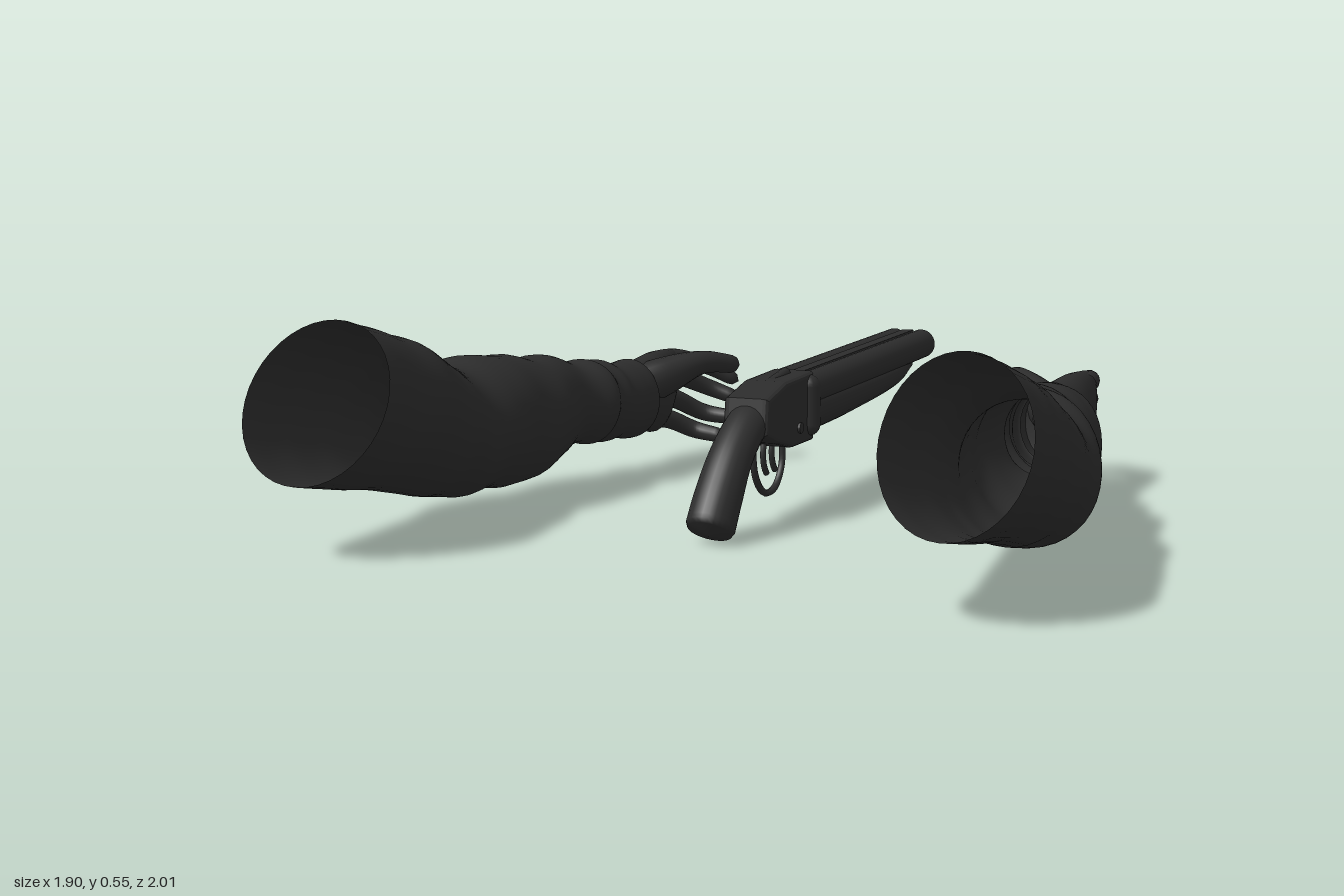
import * as THREE from 'three';

const V = (x, y, z) => new THREE.Vector3(x, y, z);
const black = new THREE.MeshStandardMaterial({ color: 0x2c2c2c, side: THREE.DoubleSide });
black.name = 'charcoal';

function add(parent, name, geometry) {
  const mesh = new THREE.Mesh(geometry, black);
  mesh.name = name;
  parent.add(mesh);
  return mesh;
}

// Smooth closed-ring surface: fn(u, angle) gives a point
function skin(fn, nu, nv) {
  const pos = [], index = [];
  for (let i = 0; i <= nu; i++) {
    for (let j = 0; j < nv; j++) pos.push(...fn(i / nu, (j / nv) * Math.PI * 2).toArray());
  }
  for (let i = 0; i < nu; i++) {
    for (let j = 0; j < nv; j++) {
      const a = i * nv + j, b = i * nv + ((j + 1) % nv), c = a + nv, d = b + nv;
      index.push(a, b, c, b, d, c);
    }
  }
  const g = new THREE.BufferGeometry();
  g.setAttribute('position', new THREE.Float32BufferAttribute(pos, 3));
  g.setIndex(index);
  g.computeVertexNormals();
  return g;
}

// Catmull-Rom sampling of a table of rows
function sample(rows, u) {
  const n = rows.length - 1, f = u * n, i = Math.min(Math.floor(f), n - 1), t = f - i;
  const at = (k) => rows[Math.max(0, Math.min(n, k))];
  return rows[0].map((_, c) => {
    const p0 = at(i - 1)[c], p1 = at(i)[c], p2 = at(i + 1)[c], p3 = at(i + 2)[c];
    return p1 + 0.5 * t * (p2 - p0 + t * (2 * p0 - 5 * p1 + 4 * p2 - p3 + t * (3 * (p1 - p2) + p3 - p0)));
  });
}

// Rows: z, xMin, xMax, yMin, yMax, lean of the ring in z by height
function limb(rows, fold, nu, nv) {
  return skin((u, a) => {
    const [z, x0, x1, y0, y1, lean] = sample(rows, u);
    const k = 1 + fold * (Math.sin(30 * z + 2 * a) + 0.6 * Math.sin(47 * z - 3 * a)) * (z < 0.5 ? 1 : 0.3);
    const dx = -Math.cos(a) * k * (x1 - x0) / 2, dy = Math.sin(a) * k * (y1 - y0) / 2;
    return V((x0 + x1) / 2 + dx, (y0 + y1) / 2 + dy, z - lean * dy + 0.35 * Math.max(0, lean) * dx);
  }, nu, nv);
}

// Tapered tube with rounded tip; radii rows: width, height
function taper(points, radii, nu = 24, nv = 14, round = 0.1) {
  const curve = new THREE.CatmullRomCurve3(points.map((p) => V(...p)));
  return skin((u, a) => {
    const T = curve.getTangent(u), right = V(0, 1, 0).cross(T).normalize(), up = T.clone().cross(right);
    const [w, h] = sample(radii, u);
    const e = Math.max(0, (u - 1 + round) / round), k = Math.sqrt(Math.max(0, 1 - e * e));
    return curve.getPoint(u).addScaledVector(right, Math.cos(a) * w * k).addScaledVector(up, Math.sin(a) * h * k);
  }, nu, nv);
}

function makeArm() {
  const arm = new THREE.Group();
  // Open, creased sleeve
  add(arm, 'sleeve', limb([
    [0.91, 0.60, 0.95, 0.19, 0.56, 0.49],
    [0.75, 0.605, 0.945, 0.155, 0.52, 0.4],
    [0.60, 0.60, 0.94, 0.12, 0.485, 0.25],
    [0.48, 0.605, 0.94, 0.08, 0.44, 0.1],
    [0.37, 0.60, 0.945, 0.06, 0.395, 0],
    [0.28, 0.59, 0.92, 0.06, 0.415, 0],
    [0.18, 0.575, 0.875, 0.058, 0.405, 0],
    [0.08, 0.562, 0.855, 0.07, 0.39, 0],
    [0.00, 0.575, 0.85, 0.085, 0.385, 0],
    [-0.07, 0.582, 0.83, 0.115, 0.375, 0],
    [-0.12, 0.57, 0.785, 0.128, 0.355, 0],
    [-0.17, 0.545, 0.775, 0.118, 0.36, 0],
    [-0.21, 0.555, 0.755, 0.125, 0.345, 0],
    [-0.25, 0.54, 0.768, 0.115, 0.345, 0],
    [-0.28, 0.54, 0.72, 0.125, 0.33, 0],
    [-0.33, 0.53, 0.712, 0.115, 0.335, 0],
    [-0.385, 0.528, 0.707, 0.112, 0.335, 0],
    [-0.395, 0.57, 0.67, 0.16, 0.29, 0],
  ], 0.017, 110, 40));
  // Gloved hand
  const hand = new THREE.Group();
  hand.name = 'hand';
  arm.add(hand);
  add(hand, 'palm', limb([
    [-0.34, 0.545, 0.69, 0.13, 0.32, 0],
    [-0.45, 0.545, 0.693, 0.12, 0.33, 0],
    [-0.53, 0.56, 0.69, 0.105, 0.338, 0.1],
    [-0.60, 0.58, 0.682, 0.103, 0.335, 0.3],
    [-0.645, 0.597, 0.672, 0.112, 0.328, 0.4],
    [-0.67, 0.61, 0.66, 0.14, 0.31, 0.4],
    [-0.68, 0.635, 0.635, 0.22, 0.22, 0.4],
  ], 0, 36, 28));
  const fingers = {
    indexFinger: [[0.645, 0.298, -0.62], [0.632, 0.3, -0.71], [0.57, 0.268, -0.80], [0.488, 0.22, -0.848]],
    middleFinger: [[0.64, 0.25, -0.6], [0.632, 0.25, -0.70], [0.57, 0.205, -0.80], [0.475, 0.17, -0.825]],
    ringFinger: [[0.638, 0.19, -0.58], [0.625, 0.185, -0.67], [0.56, 0.135, -0.752], [0.45, 0.122, -0.765]],
    littleFinger: [[0.635, 0.14, -0.54], [0.612, 0.132, -0.61], [0.55, 0.095, -0.668], [0.45, 0.082, -0.66]],
  };
  for (const [name, path] of Object.entries(fingers)) {
    add(hand, name, taper(path, [[0.03, 0.03], [0.028, 0.028], [0.024, 0.025], [0.019, 0.021]]));
  }
  add(hand, 'thumb', taper([[0.61, 0.25, -0.40], [0.55, 0.28, -0.47], [0.475, 0.312, -0.56], [0.405, 0.295, -0.67]],
    [[0.05, 0.06], [0.052, 0.055], [0.033, 0.034], [0.022, 0.026]]));
  return arm;
}

function makeGun() {
  const gun = new THREE.Group();
  gun.name = 'gun';
  // Hollow twin barrels, slightly raised toward the muzzle
  const barrels = new THREE.Group();
  barrels.name = 'barrels';
  gun.add(barrels);
  const tube = [[0.03, 0.3], [0.03, 0.91], [0.042, 0.91], [0.042, 0.91], [0.043, 0], [0, 0]]
    .map(([r, l]) => new THREE.Vector2(r, l)).reverse();
  for (const s of [-1, 1]) {
    const barrel = add(barrels, s > 0 ? 'leftBarrel' : 'rightBarrel', new THREE.LatheGeometry(tube, 28));
    barrel.rotation.x = -Math.PI / 2;
    barrel.position.x = s * 0.042;
  }
  const bore = add(barrels, 'borePlugs', new THREE.BoxGeometry(0.12, 0.02, 0.02));
  bore.position.z = -0.4;
  const rib = add(barrels, 'topRib', new THREE.BoxGeometry(0.034, 0.02, 0.91));
  rib.position.set(0, 0.03, -0.455);
  const under = add(barrels, 'lowerRib', new THREE.BoxGeometry(0.03, 0.02, 0.91));
  under.position.set(0, -0.026, -0.455);
  barrels.position.set(0, 0.323, -0.09);
  barrels.rotation.x = 0.022;
  // Rounded fore-end under the barrels
  add(gun, 'foreEnd', taper([[0, 0.265, -0.09], [0, 0.27, -0.4], [0, 0.285, -0.75], [0, 0.305, -0.91]],
    [[0.082, 0.065], [0.08, 0.06], [0.074, 0.048], [0.055, 0.03]], 30, 24, 0.06));

  // Receiver profile (z forward is negative), extruded across x
  const profile = new THREE.Shape([[-0.09, 0.2], [0.03, 0.2], [0.13, 0.225], [0.2, 0.25],
    [0.19, 0.325], [0.08, 0.352], [-0.09, 0.358]].map(([z, y]) => new THREE.Vector2(-z, y)));
  const body = new THREE.ExtrudeGeometry(profile,
    { depth: 0.09, bevelEnabled: true, bevelSize: 0.012, bevelThickness: 0.016, bevelSegments: 3 });
  body.translate(0, 0, -0.045).rotateY(Math.PI / 2);
  add(gun, 'receiver', body);
  for (const s of [-1, 1]) {
    const fence = add(gun, 'breechFence', new THREE.CapsuleGeometry(0.03, 0.1, 6, 16));
    fence.position.set(s * 0.054, 0.283, -0.08);
    const hinge = add(gun, 'hingePin', new THREE.CylinderGeometry(0.014, 0.014, 0.008, 16));
    hinge.rotation.z = Math.PI / 2;
    hinge.position.set(s * 0.063, 0.235, 0);
  }
  // Curved pistol grip
  add(gun, 'grip', taper([[0, 0.278, 0.08], [0, 0.268, 0.19], [0, 0.205, 0.29], [0, 0.12, 0.365], [0, 0.03, 0.428]],
    [[0.058, 0.068], [0.055, 0.05], [0.056, 0.05], [0.06, 0.057], [0.061, 0.062]], 36, 24, 0.05));
  // Top lever and safety
  const lever = add(gun, 'topLever', new THREE.CapsuleGeometry(0.014, 0.13, 6, 12));
  lever.rotation.x = Math.PI / 2 + 0.16;
  lever.position.set(0, 0.358, 0.015);
  const safety = add(gun, 'safetyCatch', new THREE.CapsuleGeometry(0.011, 0.06, 6, 12));
  safety.rotation.x = Math.PI / 2 + 0.3;
  safety.position.set(0, 0.33, 0.16);
  // Trigger guard and two triggers
  const loop = new THREE.CatmullRomCurve3([V(0, 0.21, -0.03), V(0, 0.13, -0.025), V(0, 0.08, 0.02),
    V(0, 0.078, 0.09), V(0, 0.13, 0.145), V(0, 0.235, 0.165)]);
  add(gun, 'triggerGuard', new THREE.TubeGeometry(loop, 32, 0.009, 8));
  for (const z of [0.03, 0.085]) {
    const path = new THREE.QuadraticBezierCurve3(V(0, 0.22, z), V(0, 0.16, z + 0.025), V(0, 0.125, z - 0.012));
    add(gun, 'trigger', new THREE.TubeGeometry(path, 12, 0.008, 8));
  }
  return gun;
}

export function createModel() {
  const model = new THREE.Group();
  model.name = 'armsAndGun';
  const left = makeArm(), right = makeArm();
  left.name = 'leftArm';
  right.name = 'rightArm';
  right.scale.x = -1;
  model.add(left, right, makeGun());
  return model;
}
